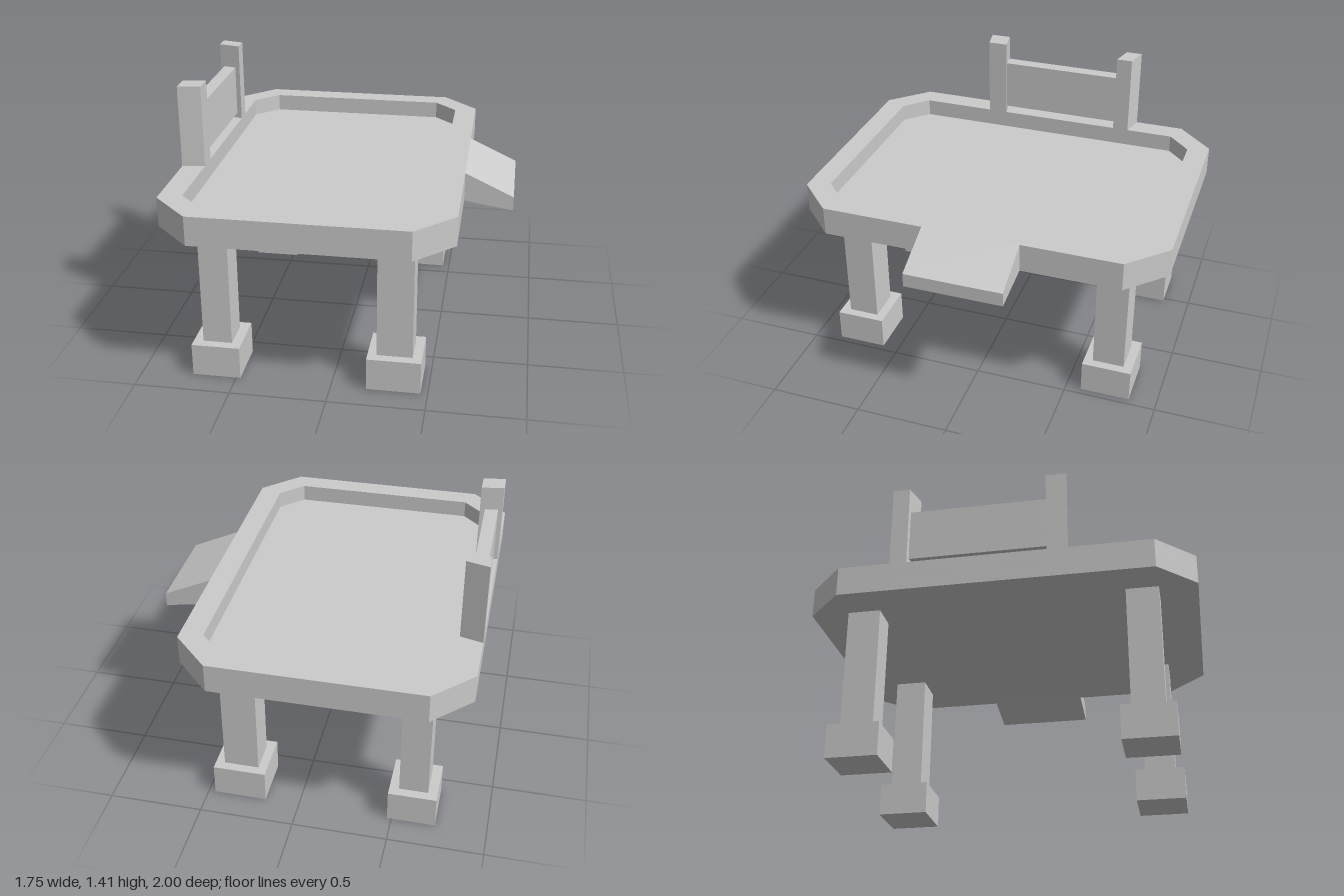
import * as THREE from 'three';

const material = new THREE.MeshStandardMaterial({ color: 0xcccccc, flatShading: true });

function addMesh(parent, name, geometry) {
  const mesh = new THREE.Mesh(geometry, material);
  mesh.name = name;
  parent.add(mesh);
  return mesh;
}

// Box given by its limits on each axis
function addBox(parent, name, [x0, x1], [y0, y1], [z0, z1]) {
  const mesh = addMesh(parent, name, new THREE.BoxGeometry(x1 - x0, y1 - y0, z1 - z0));
  mesh.position.set((x0 + x1) / 2, (y0 + y1) / 2, (z0 + z1) / 2);
  return mesh;
}

// Upright prism from a plan outline of [x, z] points, with an optional hole
function planPrism(outline, y0, y1, hole) {
  const toPoints = (list) => list.map(([x, z]) => new THREE.Vector2(x, -z));
  const shape = new THREE.Shape(toPoints(outline));
  if (hole) shape.holes.push(new THREE.Path(toPoints(hole)));
  const geometry = new THREE.ExtrudeGeometry(shape, { depth: y1 - y0, bevelEnabled: false });
  return geometry.rotateX(-Math.PI / 2).translate(0, y0, 0);
}

// Rectangle with chamfered corners
function octagon(x0, x1, z, cutX, cutZ) {
  return [
    [x0 + cutX, z], [x1 - cutX, z], [x1, z - cutZ], [x1, -z + cutZ],
    [x1 - cutX, -z], [x0 + cutX, -z], [x0, -z + cutZ], [x0, z - cutZ],
  ];
}

export function createModel() {
  const model = new THREE.Group();
  model.name = 'platform';

  // Tray deck: floor slab with a raised rim
  const outer = octagon(-0.875, 0.615, 1, 0.197, 0.197);
  const inner = octagon(-0.756, 0.493, 0.882, 0.125, 0.122);
  addMesh(model, 'deckFloor', planPrism(outer, 0.82, 0.88));
  addMesh(model, 'deckRim', planPrism(outer, 0.88, 0.975, inner));

  // Sloping lip on one long side
  const lip = new THREE.Shape([
    new THREE.Vector2(0.61, 0.82), new THREE.Vector2(0.873, 0.78),
    new THREE.Vector2(0.873, 0.855), new THREE.Vector2(0.615, 0.975),
    new THREE.Vector2(0.61, 0.975),
  ]);
  const lipGeometry = new THREE.ExtrudeGeometry(lip, { depth: 0.525, bevelEnabled: false });
  addMesh(model, 'slopingLip', lipGeometry.translate(0, 0, -0.275));

  // Legs with block feet
  const legs = [
    { side: 'Right', leg: [-0.68, -0.528], foot: [-0.73, -0.477] },
    { side: 'Left', leg: [0.23, 0.415], foot: [0.183, 0.463] },
  ];
  for (const { side, leg, foot } of legs) {
    for (const end of ['front', 'back']) {
      const front = end === 'front';
      addBox(model, `${end}${side}Leg`, leg, [0.176, 0.82], front ? [0.64, 0.806] : [-0.802, -0.632]);
      addBox(model, `${end}${side}Foot`, foot, [0, 0.176], front ? [0.591, 0.857] : [-0.851, -0.584]);
    }
  }

  // Slightly splayed posts standing on the rim
  const frontPost = [[-0.875, 0.38], [-0.756, 0.36], [-0.756, 0.254], [-0.875, 0.272]];
  const backPost = [[-0.875, -0.445], [-0.756, -0.415], [-0.756, -0.502], [-0.875, -0.533]];
  addMesh(model, 'frontPost', planPrism(frontPost, 0.975, 1.415));
  addMesh(model, 'backPost', planPrism(backPost, 0.975, 1.415));

  // Panel between the posts, with a small gap below
  const panel = [[-0.853, 0.27], [-0.783, 0.26], [-0.783, -0.424], [-0.853, -0.441]];
  addMesh(model, 'backPanel', planPrism(panel, 1.005, 1.285));

  return model;
}
